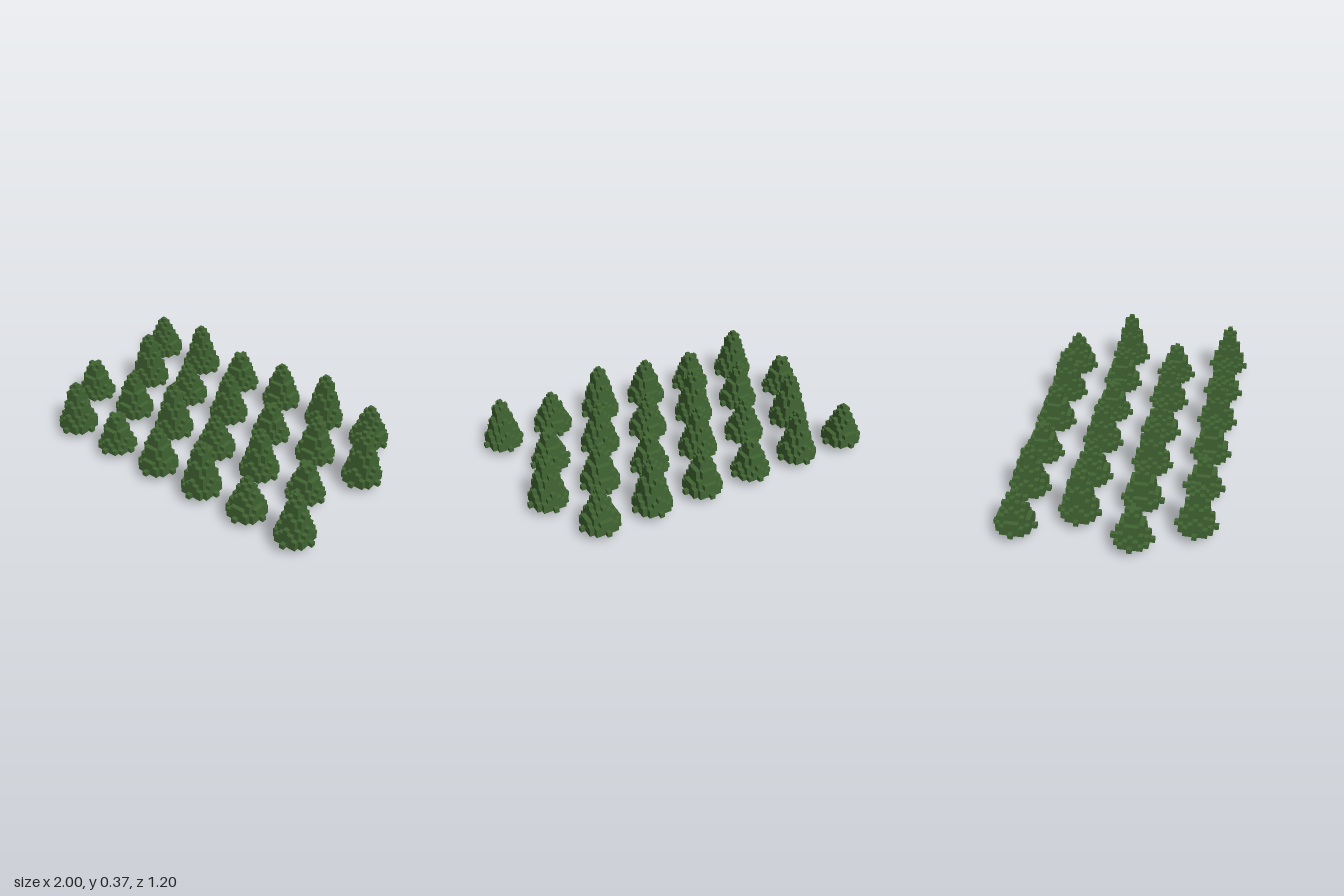
import * as THREE from 'three';
import { mergeGeometries } from 'three/addons/utils/BufferGeometryUtils.js';

const V = 2 / 75;          // edge of one block
const TRUNK = 2;           // trunk height in blocks

// stepped outline of a disc made of blocks
function discShape(r) {
  const R = Math.floor(r);
  const right = [];
  for (let j = -R; j <= R; j++) {
    const w = Math.floor(Math.sqrt(r * r - j * j)) + 0.5;
    const last = right[right.length - 1];
    if (!last || last[0] !== w) right.push([w, j - 0.5]);
    else right.pop();
    right.push([w, j + 0.5]);
  }
  const left = right.map(([x, y]) => [-x, y]).reverse();
  return new THREE.Shape([...right, ...left].map(([x, y]) => new THREE.Vector2(x * V, y * V)));
}

// stacked discs, narrowing towards the tip
function foliageGeometry(height) {
  const layers = height - TRUNK;
  const parts = [];
  for (let i = 0; i < layers; i++) {
    const r = 0.6 + 3.4 * (1 - i / layers) + 1e-6;
    const disc = new THREE.ExtrudeGeometry(discShape(r), { depth: V, bevelEnabled: false });
    disc.rotateX(-Math.PI / 2);
    disc.translate(0, (TRUNK + i) * V, 0);
    parts.push(disc);
  }
  return mergeGeometries(parts);
}

export function createModel() {
  const needles = new THREE.MeshStandardMaterial({ color: 0x416533 });
  needles.name = 'needle green';
  const bark = new THREE.MeshStandardMaterial({ color: 0x5a452d });
  bark.name = 'bark brown';

  const trunkGeometry = new THREE.BoxGeometry(V, TRUNK * V, V);
  trunkGeometry.translate(0, TRUNK * V / 2, 0);
  const foliage = [10, 11, 12, 13, 14].map(foliageGeometry);

  // staggered rows, heights cycling through five sizes
  const forest = new THREE.Group();
  forest.name = 'forest';
  const firstSize = [1, 4, 0, 3];
  for (let row = 0; row < 4; row++) {
    for (let i = 0; i < 6; i++) {
      const tree = new THREE.Group();
      tree.name = 'tree';
      const crown = new THREE.Mesh(foliage[(firstSize[row] + 2 * i) % 5], needles);
      crown.name = 'foliage';
      const trunk = new THREE.Mesh(trunkGeometry, bark);
      trunk.name = 'trunk';
      tree.add(crown, trunk);
      tree.position.set(-0.88 + 0.16 * (row % 2) + 0.32 * i, 0, -0.48 + 0.32 * row);
      forest.add(tree);
    }
  }
  return forest;
}
